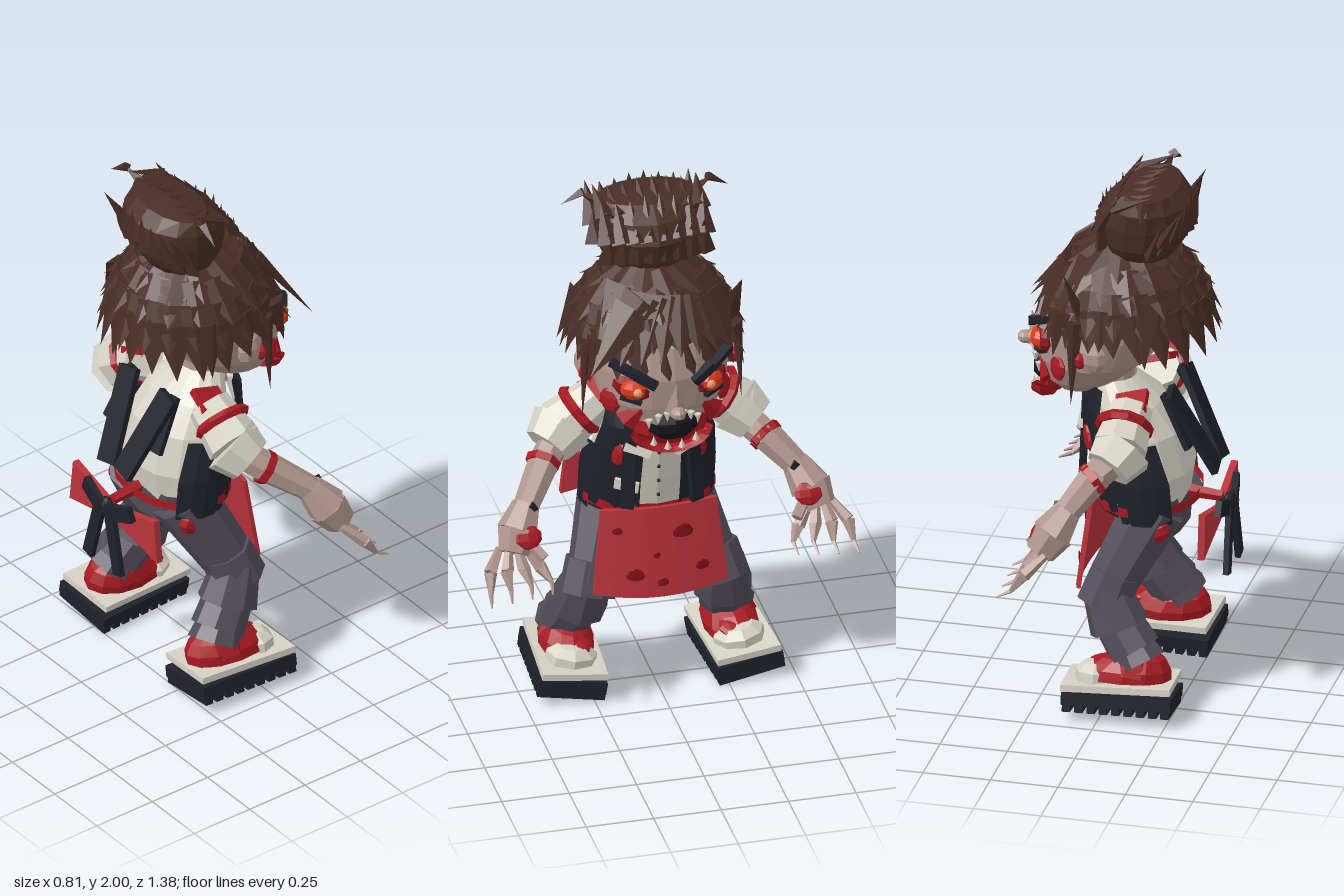
import * as THREE from 'three';

const C = { hair: 0x4a2d26, skin: 0xb0958c, dark: 0x1f212b, pants: 0x514c58, red: 0xa81a22,
  apron: 0xbb333b, blood: 0x8c141e, white: 0xd6d2c6, eye: 0xe03a1c, glow: 0xf5a27a, mouth: 0x16161c };
const V = (x, y, z) => new THREE.Vector3(x, y, z);
const mats = {};
const mat = (c) => mats[c] ??= new THREE.MeshStandardMaterial({ color: C[c], flatShading: true, side: THREE.DoubleSide });

function add(parent, name, geo, color, pos = [0, 0, 0], rot = [0, 0, 0], scale = [1, 1, 1]) {
  const m = new THREE.Mesh(geo, mat(color));
  m.name = name;
  m.position.set(...pos);
  m.rotation.set(...rot);
  m.scale.set(...scale);
  parent.add(m);
  return m;
}
const group = (parent, name) => {
  const g = new THREE.Group();
  g.name = name;
  parent.add(g);
  return g;
};
const box = (p, name, color, size, pos, rot) => add(p, name, new THREE.BoxGeometry(...size), color, pos, rot);
const blob = (p, name, color, size, pos, rot) => add(p, name, new THREE.SphereGeometry(1, 8, 5), color, pos, rot, size);

// Tapered prism running from a to b
function limb(p, name, color, a, b, ra, rb, n = 7) {
  const d = b.clone().sub(a);
  const m = add(p, name, new THREE.CylinderGeometry(rb, ra, d.length(), n), color);
  m.position.copy(a).addScaledVector(d, 0.5);
  m.quaternion.setFromUnitVectors(V(0, 1, 0), d.normalize());
  return m;
}

// Surface through elliptical rings [y, centreZ, radiusX, radiusZ], bottom to top; angle 0 faces forward
function loft(rings, n = 12, a0 = 0, a1 = Math.PI * 2) {
  const pos = [], idx = [];
  rings.forEach(([y, cz, rx, rz], i) => {
    for (let j = 0; j <= n; j++) {
      const a = a0 + (a1 - a0) * j / n;
      pos.push(rx * Math.sin(a), y, cz + rz * Math.cos(a));
      if (i && j) {
        const k = i * (n + 1) + j, q = k - n - 1;
        idx.push(q - 1, q, k, q - 1, k, k - 1);
      }
    }
  });
  const g = new THREE.BufferGeometry();
  g.setAttribute('position', new THREE.Float32BufferAttribute(pos, 3));
  g.setIndex(idx);
  g.computeVertexNormals();
  return g;
}

// Flattened pointed lock of hair from base to tip, its flat side facing normal
function lock(p, base, tip, normal, w, t = 0.022) {
  const d = tip.clone().sub(base), len = d.length();
  d.normalize();
  const x = d.clone().cross(normal).normalize(), z = x.clone().cross(d);
  const m = add(p, 'hairLock', new THREE.ConeGeometry(1, 1, 4), 'hair');
  m.quaternion.setFromRotationMatrix(new THREE.Matrix4().makeBasis(x, d, z));
  m.scale.set(w, len, t);
  m.position.copy(base).addScaledVector(d, len / 2);
}

function buildHead(body) {
  const g = group(body, 'head');
  add(g, 'skull', loft([[1.12, 0.17, 0, 0], [1.13, 0.17, 0.08, 0.08], [1.19, 0.15, 0.17, 0.15], [1.28, 0.11, 0.235, 0.21],
    [1.4, 0.08, 0.255, 0.25], [1.52, 0.05, 0.25, 0.25], [1.66, 0, 0.1, 0.1]], 18), 'skin');
  add(g, 'nose', new THREE.ConeGeometry(0.045, 0.13, 4), 'skin', [0, 1.335, 0.335], [0.2, 0, 0], [0.9, 1, 1]);
  blob(g, 'noseTip', 'skin', [0.03, 0.024, 0.03], [0, 1.29, 0.372]);
  for (const s of [-1, 1]) {
    blob(g, 'ear', 'skin', [0.035, 0.065, 0.06], [s * 0.265, 1.365, 0.06], [0, s * -0.3, 0]);
    blob(g, 'earWound', 'red', [0.03, 0.035, 0.022], [s * 0.273, 1.35, 0.1]);
    blob(g, 'eyeSocket', 'blood', [0.078, 0.048, 0.028], [s * 0.145, 1.36, 0.27], [0, s * 0.5, s * 0.2]);
    blob(g, 'eyeball', 'eye', [0.05, 0.04, 0.03], [s * 0.145, 1.362, 0.288], [0, s * 0.4, 0]);
    blob(g, 'pupil', 'glow', [0.018, 0.018, 0.012], [s * 0.135, 1.362, 0.315]);
    box(g, 'eyebrow', 'dark', [0.09, 0.032, 0.04], [s * 0.105, 1.41, 0.31], [0, s * 0.35, s * 0.5]);
    box(g, 'eyebrowEnd', 'dark', [0.1, 0.022, 0.04], [s * 0.18, 1.448, 0.27], [0, s * 0.65, s * 0.35]);
    box(g, 'eyeShadow', 'dark', [0.08, 0.014, 0.03], [s * 0.15, 1.318, 0.278], [0, s * 0.5, s * 0.2]);
    blob(g, 'cheekWound', 'red', [0.045, 0.05, 0.016], [s * 0.21, 1.28, 0.2], [0, s * 0.85, 0]);
    add(g, 'cheekBlood', new THREE.ConeGeometry(0.045, 0.13, 4), 'red', [s * 0.13, 1.26, 0.275], [0, s * 0.5, s * 0.75], [1, 1, 0.4]);
  }
  // Open jaws
  blob(g, 'lips', 'red', [0.14, 0.09, 0.06], [0, 1.195, 0.255]);
  blob(g, 'mouthCavity', 'mouth', [0.1, 0.06, 0.05], [0, 1.205, 0.29]);
  add(g, 'lowerJaw', new THREE.TorusGeometry(0.115, 0.024, 5, 10, Math.PI), 'red', [0, 1.17, 0.28], [-0.1, 0, Math.PI], [1.1, 0.58, 1.6]);
  for (let i = -3; i <= 3; i++) {
    add(g, 'upperTooth', new THREE.ConeGeometry(0.015, 0.04, 4), 'white', [i * 0.03, 1.262 - i * i * 0.005, 0.335 - i * i * 0.004], [Math.PI, 0, 0]);
    if (i % 2) add(g, 'lowerTooth', new THREE.ConeGeometry(0.014, 0.035, 4), 'white', [i * 0.026, 1.135 + i * i * 0.003, 0.32]);
  }
}

function buildHair(body) {
  const g = group(body, 'hair');
  const at = (a, p, k = 1) => V(0.31 * k * Math.sin(p) * Math.sin(a), 1.4 + 0.34 * k * Math.cos(p), -0.01 + 0.315 * k * Math.sin(p) * Math.cos(a));
  add(g, 'hairCap', new THREE.SphereGeometry(1, 18, 6, 0, Math.PI * 2, 0, Math.PI * 0.4), 'hair', [0, 1.4, -0.01], [0, 0, 0], [0.31, 0.34, 0.315]);
  // Overlapping rows of broad locks, longer toward the back
  [[0.1, 12], [0.2, 16], [0.29, 20], [0.36, 22]].forEach(([p, n], r) => {
    for (let i = 0; i < n; i++) {
      const a = (i + (r % 2) / 2) / n * Math.PI * 2;
      const back = (1 - Math.cos(a)) / 2, wob = Math.sin(i * 7.3 + r * 2.1) * 0.015;
      const reach = p + 0.13 + back * 0.06 + wob;
      lock(g, at(a, p * Math.PI, 0.98), at(a + 0.08, reach * Math.PI, 1.08 + wob), at(a, p * Math.PI).sub(V(0, 1.4, 0)), 0.08);
    }
  });
  // Fringe swept from a side parting
  [1.44, 1.45, 1.47, 1.48, 1.5, 1.5, 1.49, 1.46].forEach((y, i) => {
    const x = -0.27 + i * 0.072;
    lock(g, V(0.04 + x * 0.45, 1.67, 0.19), V(x, y, 0.345 - x * x * 1.6), V(x * 1.5, 0.5, 1), 0.085);
  });
  for (const s of [-1, 1]) {
    lock(g, V(s * 0.28, 1.5, 0.12), V(s * 0.295, 1.18, 0.13), V(s, 0, 0), 0.035);
    lock(g, V(s * 0.26, 1.53, 0.18), V(s * 0.285, 1.36, 0.2), V(s, 0, 0.4), 0.05);
    lock(g, V(s * 0.27, 1.55, 0.02), V(s * 0.325, 1.41, 0.02), V(s, 0, 0), 0.07);
    lock(g, V(s * 0.26, 1.55, -0.12), V(s * 0.32, 1.36, -0.15), V(s, 0, 0), 0.07);
    lock(g, V(s * 0.12, 1.69, 0.12), V(s * 0.28, 1.43, 0.24), V(s * 0.6, 0.4, 1), 0.09);
  }
  lock(g, V(-0.12, 1.64, 0.2), V(-0.31, 1.45, 0.31), V(-0.4, 0.4, 1), 0.08);
  lock(g, V(0.24, 1.54, 0.12), V(0.29, 1.69, 0.16), V(0.3, 0, 1), 0.06);
  // Top bun with ragged crest
  add(g, 'bun', loft([[1.69, -0.06, 0.14, 0.12], [1.75, -0.07, 0.18, 0.15], [1.83, -0.08, 0.195, 0.18], [1.9, -0.09, 0.2, 0.155],
    [1.95, -0.1, 0.18, 0.1], [1.97, -0.1, 0, 0]], 14), 'hair');
  for (let i = 0; i < 8; i++) {
    const x = (i - 3.5) * 0.05, e = 1 - x * x * 10, lift = Math.sin(i * 5) * 0.012;
    lock(g, V(x, 1.76, 0.07 * e), V(x, 1.9 + lift, 0.08 * e), V(0, 0, 1), 0.045);
    lock(g, V(x, 1.84, 0.08 * e), V(x * 1.08, 1.975 + lift, -0.02), V(0, 0.3, 1), 0.045);
    lock(g, V(x, 1.92, 0.0), V(x * 1.1, 1.985 + lift, -0.14), V(0, 1, 0.4), 0.04);
    lock(g, V(x, 1.8, -0.22 * e - 0.02), V(x * 1.1, 1.94 + lift, -0.25), V(0, 0, -1), 0.045);
    lock(g, V(x, 1.74, -0.19 * e), V(x, 1.88 + lift, -0.26 * e), V(0, 0, -1), 0.045);
  }
  for (const s of [-1, 1]) {
    lock(g, V(s * 0.17, 1.93, -0.1), V(s * 0.25, 1.97, -0.12), V(0, 0, 1), 0.025);
    lock(g, V(s * 0.23, 1.97, -0.12), V(s * 0.31, 1.92, -0.13), V(0, 0, 1), 0.018);
  }
}

function buildTorso(body) {
  const g = group(body, 'torso');
  add(g, 'shirt', loft([[0.7, -0.09, 0.2, 0.14], [0.85, -0.09, 0.215, 0.165], [1, -0.06, 0.2, 0.155], [1.1, -0.02, 0.17, 0.12], [1.19, 0.04, 0.09, 0.08]], 14), 'white');
  add(g, 'neck', new THREE.CylinderGeometry(0.08, 0.09, 0.12, 8), 'skin', [0, 1.16, 0.05]);
  for (let i = 0; i < 5; i++) blob(g, 'button', 'dark', [0.007, 0.007, 0.006], [0, 0.79 + i * 0.06, 0.078 + i * 0.004]);
  const vest = [[0.72, -0.09, 0.245, 0.18], [0.85, -0.085, 0.25, 0.2], [1, -0.04, 0.235, 0.185], [1.1, 0, 0.21, 0.15], [1.19, 0.01, 0.19, 0.1]];
  for (const s of [-1, 1]) {
    add(g, 'vestFront', loft(vest, 5, s * 0.3, s * 1.25), 'dark');
    add(g, 'vestSide', loft([[0.7, -0.11, 0.25, 0.18], ...vest.slice(1, 3)], 4, s * 1.2, s * 2.25), 'dark');
    box(g, 'vestLapel', 'dark', [0.05, 0.36, 0.02], [s * 0.12, 0.96, 0.125], [-0.05, s * 0.4, s * 0.06]);
    box(g, 'vestBackFlap', 'dark', [0.09, 0.36, 0.025], [s * 0.08, 1.03, -0.27], [0.46, 0, s * -0.2]);
    box(g, 'vestBackTatter', 'dark', [0.05, 0.22, 0.02], [s * 0.13, 1.08, -0.22], [0.46, 0, s * 0.1]);
    box(g, 'collarFlap', 'white', [0.1, 0.13, 0.02], [s * 0.075, 1.065, 0.13], [-0.25, s * 0.3, s * 0.35]);
    blob(g, 'vestBlood', 'red', [0.03, 0.05, 0.012], [s * 0.15, 0.99, 0.105], [0, s * 0.7, s * 0.4]);
    box(g, 'shoulderStrap', 'red', [0.1, 0.025, 0.12], [s * 0.2, 1.165, -0.07], [0.3, 0, s * -0.4]);
  }
  box(g, 'nameTag', 'white', [0.09, 0.04, 0.015], [-0.125, 0.86, 0.105], [0, -0.5, -0.1]);

  // Apron, waist band and rear bow
  const cloth = new THREE.BoxGeometry(1, 1, 0.016, 8, 5, 1), p = cloth.attributes.position;
  for (let i = 0; i < p.count; i++) {
    const v = p.getY(i) + 0.5, x = p.getX(i) * (0.5 - 0.07 * v);
    p.setXYZ(i, x, 0.41 + 0.345 * v + 0.35 * x * x * (1 - v), p.getZ(i) + 0.15 - 0.045 * v - 0.6 * x * x);
  }
  cloth.computeVertexNormals();
  add(g, 'apron', cloth, 'apron');
  for (const [x, y, r] of [[-0.1, 0.49, 0.035], [0.08, 0.64, 0.04], [0.15, 0.5, 0.028], [0, 0.46, 0.022], [-0.16, 0.67, 0.02], [-0.02, 0.57, 0.015]])
    blob(g, 'apronStain', 'blood', [r, r * 1.2, 0.004], [x, y, 0.157 - 0.13 * (y - 0.41) - 0.6 * x * x], [0.13, x * 1.2, 0]);
  add(g, 'waistBand', loft([[0.73, -0.09, 0.25, 0.19], [0.765, -0.09, 0.25, 0.19]], 14), 'red');
  limb(g, 'bandTail', 'red', V(0, 0.75, -0.24), V(0, 0.74, -0.36), 0.025, 0.02, 5);
  for (const s of [-1, 1]) {
    const loop = new THREE.Shape([[0, 0.02], [0.24, 0.09], [0.26, -0.08], [0, -0.03]].map(([x, y]) => new THREE.Vector2(s * x, y)));
    add(g, 'bowLoop', new THREE.ExtrudeGeometry(loop, { depth: 0.025, bevelEnabled: false }), 'apron', [0, 0.68, -0.355]);
    box(g, 'blackBowLoop', 'dark', [0.13, 0.06, 0.025], [s * 0.075, 0.73, -0.385], [0, s * -0.15, s * 0.35]);
    box(g, 'blackRibbon', 'dark', [0.05, 0.28, 0.02], [s * 0.055, 0.61, -0.395], [0.02, 0, s * 0.25]);
  }
  blob(g, 'bowKnot', 'dark', [0.035, 0.04, 0.025], [0, 0.72, -0.385]);
}

function buildArm(body, s) {
  const g = group(body, s > 0 ? 'leftArm' : 'rightArm');
  const f = s > 0 ? -0.03 : 0.03; // one hand reaches further forward
  const P = (x, y, z) => V(s * x, y, z);
  limb(g, 'sleeve', 'white', P(0.19, 1.14, -0.07), P(0.33, 1.04, -0.06), 0.08, 0.105, 8);
  limb(g, 'sleeveCuff', 'white', P(0.32, 1.04, -0.07), P(0.385, 0.985, -0.03), 0.118, 0.09, 8);
  const ring = add(g, 'shoulderWound', new THREE.TorusGeometry(0.09, 0.02, 5, 10), 'red', [s * 0.26, 1.1, -0.06]);
  ring.quaternion.setFromUnitVectors(V(0, 0, 1), P(0.8, -0.6, 0));
  limb(g, 'upperArm', 'skin', P(0.36, 0.99, -0.03), P(0.42, 0.94, 0.03), 0.058, 0.056);
  limb(g, 'elbowWound', 'red', P(0.405, 0.955, 0.01), P(0.42, 0.94, 0.03), 0.066, 0.064);
  limb(g, 'forearm', 'skin', P(0.4, 0.96, 0.01), P(0.515, 0.845, 0.13 + f), 0.06, 0.048);
  limb(g, 'wrist', 'skin', P(0.505, 0.86, 0.115 + f), P(0.55, 0.78, 0.165 + f), 0.052, 0.078);
  limb(g, 'palm', 'skin', P(0.548, 0.785, 0.162 + f), P(0.575, 0.715, 0.205 + f), 0.078, 0.058);
  blob(g, 'handWound', 'red', [0.055, 0.045, 0.018], [s * 0.53, 0.785, 0.225 + f], [-0.5, 0, 0]);
  box(g, 'wristStud', 'dark', [0.04, 0.03, 0.04], [s * 0.5, 0.865, 0.15 + f], [0, 0, s * -0.6]);
  // Three fingers, a little finger and a thumb, ending in hooked nails
  for (let i = 0; i < 4; i++) {
    const tipX = 0.455 + i * 0.075, tipY = 0.6 - i * 0.008;
    const a = P(0.53 + i * 0.03, 0.725, 0.21 + f - i * 0.012), b = P(0.485 + i * 0.062, 0.665, 0.24 + f), c = P(tipX, tipY + 0.025, 0.285 + f);
    limb(g, 'finger', 'skin', a, b, 0.015, 0.025, 5);
    limb(g, 'fingerEnd', 'skin', b, c, 0.025, 0.009, 5);
    limb(g, 'nail', 'skin', c, P(tipX + 0.008, tipY, 0.335 + f), 0.009, 0.003, 4);
  }
  limb(g, 'thumb', 'skin', P(0.52, 0.76, 0.21 + f), P(0.475, 0.71, 0.26 + f), 0.022, 0.022, 5);
}

function buildLeg(body, s) {
  const g = group(body, s > 0 ? 'leftLeg' : 'rightLeg');
  const P = (x, y, z) => V(s * x, y, z);
  limb(g, 'thigh', 'pants', P(0.12, 0.73, -0.14), P(0.23, 0.42, 0.015), 0.12, 0.095, 8);
  limb(g, 'knee', 'pants', P(0.22, 0.5, -0.02), P(0.25, 0.38, 0.02), 0.098, 0.105, 8);
  limb(g, 'shinTop', 'pants', P(0.25, 0.45, 0.015), P(0.27, 0.31, -0.045), 0.085, 0.112, 8);
  limb(g, 'shin', 'pants', P(0.265, 0.34, -0.03), P(0.295, 0.23, -0.11), 0.09, 0.1, 8);
  limb(g, 'trouserCuff', 'pants', P(0.29, 0.26, -0.09), P(0.31, 0.19, -0.135), 0.08, 0.1, 8);
  limb(g, 'ankle', 'red', P(0.3, 0.23, -0.11), P(0.32, 0.15, -0.1), 0.07, 0.09, 8);
  blob(g, 'thighWound', 'red', [0.03, 0.045, 0.06], [s * 0.21, 0.67, -0.16], [0.4, 0, 0]);

  const shoe = group(g, 'shoe');
  shoe.position.set(s * 0.325, 0.017, -0.065);
  shoe.rotation.set(0, s * 0.06, s * 0.16);
  box(shoe, 'sole', 'dark', [0.25, 0.045, 0.4], [0, 0.048, 0]);
  for (let i = 0; i < 9; i++) box(shoe, 'tread', 'dark', [0.25, 0.028, 0.03], [0, 0.014, -0.18 + i * 0.045]);
  box(shoe, 'midsole', 'white', [0.24, 0.025, 0.4], [0, 0.098, 0.005], [0.03, 0, s * -0.06]);
  add(shoe, 'shoeUpper', loft([[0.11, -0.01, 0.1, 0.17], [0.15, -0.02, 0.1, 0.16], [0.19, -0.04, 0.08, 0.12], [0.215, -0.05, 0.05, 0.07], [0.215, -0.05, 0, 0]], 12), 'red');
  blob(shoe, 'toeCap', 'white', [0.1, 0.055, 0.085], [0, 0.12, 0.09]);
  blob(shoe, 'toeBlood', 'red', [0.04, 0.015, 0.05], [s * -0.03, 0.165, 0.09], [0.3, 0, 0]);
}

export function createModel() {
  const model = new THREE.Group();
  model.name = 'zombieWaitress';
  const body = group(model, 'body');
  body.rotation.y = Math.PI / 2; // the figure looks along +x
  buildHead(body);
  buildHair(body);
  buildTorso(body);
  add(body, 'hips', loft([[0.58, -0.12, 0.09, 0.08], [0.64, -0.12, 0.18, 0.12], [0.76, -0.09, 0.22, 0.15]], 10), 'pants');
  for (const s of [-1, 1]) {
    buildArm(body, s);
    buildLeg(body, s);
  }
  return model;
}
